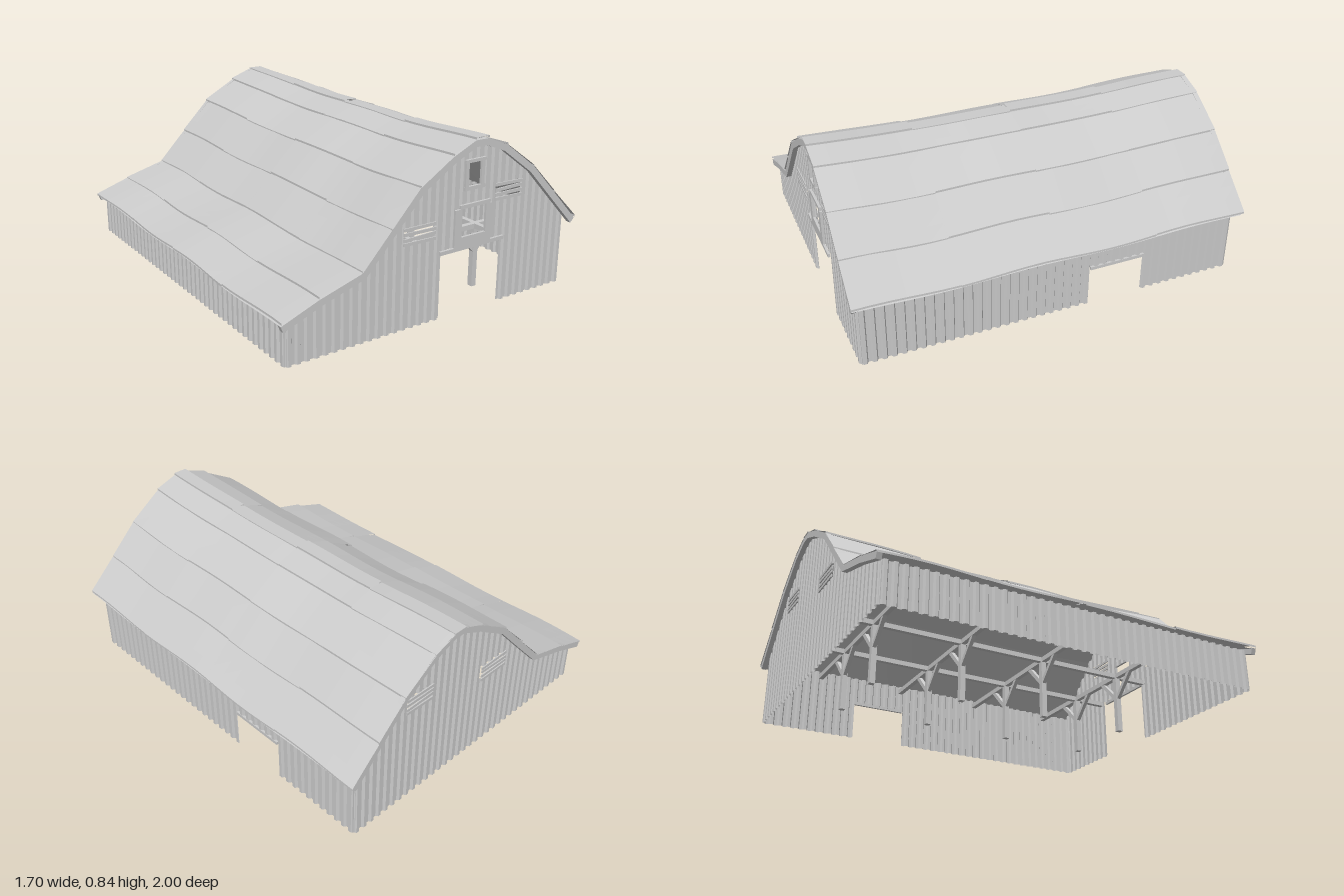
import * as THREE from 'three';

const mat = new THREE.MeshStandardMaterial({ color: 0xcccccc, flatShading: true, side: THREE.DoubleSide });

// Roof profile (x, y) from the lean-to eave over the ridge to the other eave
const PROFILE = [[-0.845, 0.21], [-0.66, 0.28], [-0.44, 0.345], [-0.29, 0.505], [-0.14, 0.665], [0.04, 0.775],
  [0.165, 0.83], [0.24, 0.83], [0.36, 0.782], [0.54, 0.65], [0.69, 0.495], [0.845, 0.335]];
const RIDGE = 6;

function roofY(x) {
  let i = 0;
  while (i < PROFILE.length - 2 && x > PROFILE[i + 1][0]) i++;
  const [a, b] = [PROFILE[i], PROFILE[i + 1]];
  return a[1] + (b[1] - a[1]) * (x - a[0]) / (b[0] - a[0]);
}

function add(group, name, geometry) {
  const mesh = new THREE.Mesh(geometry, mat);
  mesh.name = name;
  group.add(mesh);
  return mesh;
}

function box(group, name, w, h, d, x, y, z, tilt = 0) {
  const mesh = add(group, name, new THREE.BoxGeometry(w, h, d));
  mesh.position.set(x, y, z);
  mesh.rotation.z = tilt;
}

// Square timber between two points
function timber(group, name, a, b, size) {
  const from = new THREE.Vector3(...a), to = new THREE.Vector3(...b);
  const mesh = add(group, name, new THREE.BoxGeometry(size, size, from.distanceTo(to)));
  mesh.position.copy(from).add(to).multiplyScalar(0.5);
  mesh.lookAt(to);
}

function quads(list) {
  const pos = [];
  for (const [a, b, c, d] of list) pos.push(...a, ...b, ...c, ...a, ...c, ...d);
  const g = new THREE.BufferGeometry();
  g.setAttribute('position', new THREE.Float32BufferAttribute(pos, 3));
  g.computeVertexNormals();
  return g;
}

// Ribbed sheet wall; holes are [u0, u1, y0, y1], place maps (u, y, depth) to a point
function ribbedWall(u0, u1, topY, holes, place) {
  const pitch = 0.046, cuts = [u0, u1];
  const rib = u => {
    const t = (((u - u0) / pitch) % 1 + 1) % 1;
    return 0.012 * Math.min(1, Math.max(0, 2 - Math.abs(t - 0.5) * 6));
  };
  for (let u = u0; u < u1; u += pitch)
    for (const t of [0, 1 / 6, 1 / 3, 2 / 3, 5 / 6]) if (u + t * pitch < u1) cuts.push(u + t * pitch);
  for (const h of holes) cuts.push(h[0], h[1]);
  cuts.sort((a, b) => a - b);
  const list = [];
  for (let i = 0; i < cuts.length - 1; i++) {
    const a = cuts[i], b = cuts[i + 1], m = (a + b) / 2;
    if (b - a < 1e-5) continue;
    const open = holes.filter(h => m > h[0] && m < h[1]).sort((p, q) => p[2] - q[2]);
    let y = 0;
    for (const h of [...open, null]) {
      const ta = h ? h[2] : topY(a), tb = h ? h[2] : topY(b);
      if (ta > y) list.push([place(a, y, rib(a)), place(b, y, rib(b)), place(b, tb, rib(b)), place(a, ta, rib(a))]);
      if (h) y = h[3];
    }
  }
  return quads(list);
}

// Sagging, wavy roof height offset
function sag(x, z) {
  const high = (roofY(x) - 0.2) / 0.63;
  return -0.022 * high * (1 - z * z) + 0.006 * Math.sin(z * 7.4 + 0.6) * (1 - 0.5 * high);
}

export function createModel() {
  const barn = new THREE.Group();
  barn.name = 'barn';

  // Gable and side walls
  const vents = [[-0.2, -0.03, 0.405, 0.48], [0.33, 0.49, 0.515, 0.59]];
  const frontHoles = [...vents, [0.02, 0.38, 0, 0.33], [0.12, 0.265, 0.38, 0.515], [0.15, 0.225, 0.615, 0.725]];
  const gableTop = x => roofY(x) - 0.02;
  add(barn, 'frontWall', ribbedWall(-0.81, 0.8, gableTop, frontHoles, (u, y, d) => [u, y, 0.958 + d]));
  add(barn, 'backWall', ribbedWall(-0.81, 0.8, gableTop, vents, (u, y, d) => [u, y, -0.958 - d]));
  add(barn, 'leftWall', ribbedWall(-0.965, 0.965, () => 0.35, [[-0.465, -0.17, 0, 0.2]], (u, y, d) => [0.79 + d, y, u]));
  add(barn, 'rightWall', ribbedWall(-0.965, 0.965, () => 0.205, [], (u, y, d) => [-0.8 - d, y, u]));

  // Loose slats across the vents
  for (const z of [0.972, -0.972])
    for (const [x0, x1, y0] of vents)
      for (let i = 0; i < 4; i++)
        box(barn, 'ventSlat', x1 - x0 + 0.01, 0.015, 0.006, (x0 + x1) / 2, y0 + 0.004 + i * 0.023, z,
          0.03 * Math.sin(i * 2.3 + x0 * 9 + z));

  // Loft door, gable window and entrance trim
  const trim = (x0, x1, y0, y1) => box(barn, 'trimBoard', x1 - x0, y1 - y0, 0.012, (x0 + x1) / 2, (y0 + y1) / 2, 0.975);
  trim(0.0, 0.385, 0.317, 0.335);
  trim(0.08, 0.3, 0.335, 0.38);
  trim(0.08, 0.12, 0.38, 0.515);
  trim(0.265, 0.3, 0.38, 0.515);
  trim(0.11, 0.29, 0.515, 0.533);
  trim(0.13, 0.25, 0.597, 0.615);
  trim(0.13, 0.25, 0.725, 0.74);
  trim(0.132, 0.15, 0.615, 0.725);
  trim(0.225, 0.243, 0.615, 0.725);
  box(barn, 'sideDoorLintel', 0.012, 0.016, 0.29, 0.798, 0.202, -0.32);

  // Continuous roof lining under the sheets
  const courses = PROFILE.length - 1, steps = 24, lining = [];
  const under = (i, k) => {
    const [x, y] = PROFILE[i], z = -0.99 + 1.98 * k / steps;
    return [x * 0.995, y - 0.01 + sag(x, z), z];
  };
  for (let i = 0; i < courses; i++)
    for (let k = 0; k < steps; k++)
      lining.push([under(i, k), under(i, k + 1), under(i + 1, k + 1), under(i + 1, k)]);
  add(barn, 'roofLining', quads(lining));

  // Overlapping roof sheets, four bays per course, lifted along the lower edge
  for (let i = 0; i < courses; i++) {
    const [a, b] = [PROFILE[i], PROFILE[i + 1]];
    const liftA = i <= RIDGE ? 0.008 : 0, liftB = i >= RIDGE ? 0.008 : 0;
    for (let bay = 0; bay < 4; bay++) {
      const jitter = 0.004 * Math.sin(i * 5.1 + bay * 2.7), z0 = -1 + bay * 0.5, n = 6, m = 3;
      const at = (s, k) => {
        const t = s / m, z = z0 + 0.5 * k / n;
        const lift = (liftA + (liftA && jitter)) * (1 - t) + (liftB + (liftB && jitter)) * t;
        const x = a[0] + (b[0] - a[0]) * t;
        return [x + 0.003 * Math.sin(z * 9 + i), a[1] + (b[1] - a[1]) * t + lift + sag(x, z), z];
      };
      const list = [];
      for (let s = 0; s < m; s++)
        for (let k = 0; k < n; k++) list.push([at(s, k), at(s, k + 1), at(s + 1, k + 1), at(s + 1, k)]);
      // Turned-down lip
      const down = ([x, y, z]) => [x, y - 0.01, z];
      for (const s of [...(liftA ? [0] : []), ...(liftB ? [m] : [])])
        for (let k = 0; k < n; k++) list.push([at(s, k), down(at(s, k)), down(at(s, k + 1)), at(s, k + 1)]);
      add(barn, 'roofSheet', quads(list));
    }
  }

  // Verge boards following the gable
  const lower = PROFILE.map((p, i) => {
    const q = PROFILE[Math.max(0, i - 1)], r = PROFILE[Math.min(courses, i + 1)];
    const dx = r[0] - q[0], dy = r[1] - q[1], len = Math.hypot(dx, dy);
    return [p[0] + 0.032 * dy / len, p[1] - 0.032 * dx / len];
  });
  const verge = new THREE.Shape([...PROFILE, ...lower.reverse()].map(p => new THREE.Vector2(...p)));
  for (const z of [0.972, -0.997]) {
    const board = add(barn, 'vergeBoard', new THREE.ExtrudeGeometry(verge, { depth: 0.025, bevelEnabled: false }));
    board.position.z = z;
  }

  // Timber frame: posts, beams and braces
  for (const z of [0.77, 0.29, -0.19, -0.67]) {
    timber(barn, 'crossBeam', [-0.46, 0.318, z], [0.79, 0.318, z], 0.025);
    for (const x of [0, 0.4]) {
      box(barn, 'post', 0.028, 0.32, 0.028, x, 0.16, z);
      for (const s of [-1, 1]) timber(barn, 'brace', [x, 0.185, z], [x + s * 0.13, 0.315, z], 0.02);
    }
  }
  for (const x of [0, 0.4]) timber(barn, 'lengthBeam', [x, 0.318, -0.95], [x, 0.318, 0.95], 0.025);

  return barn;
}
